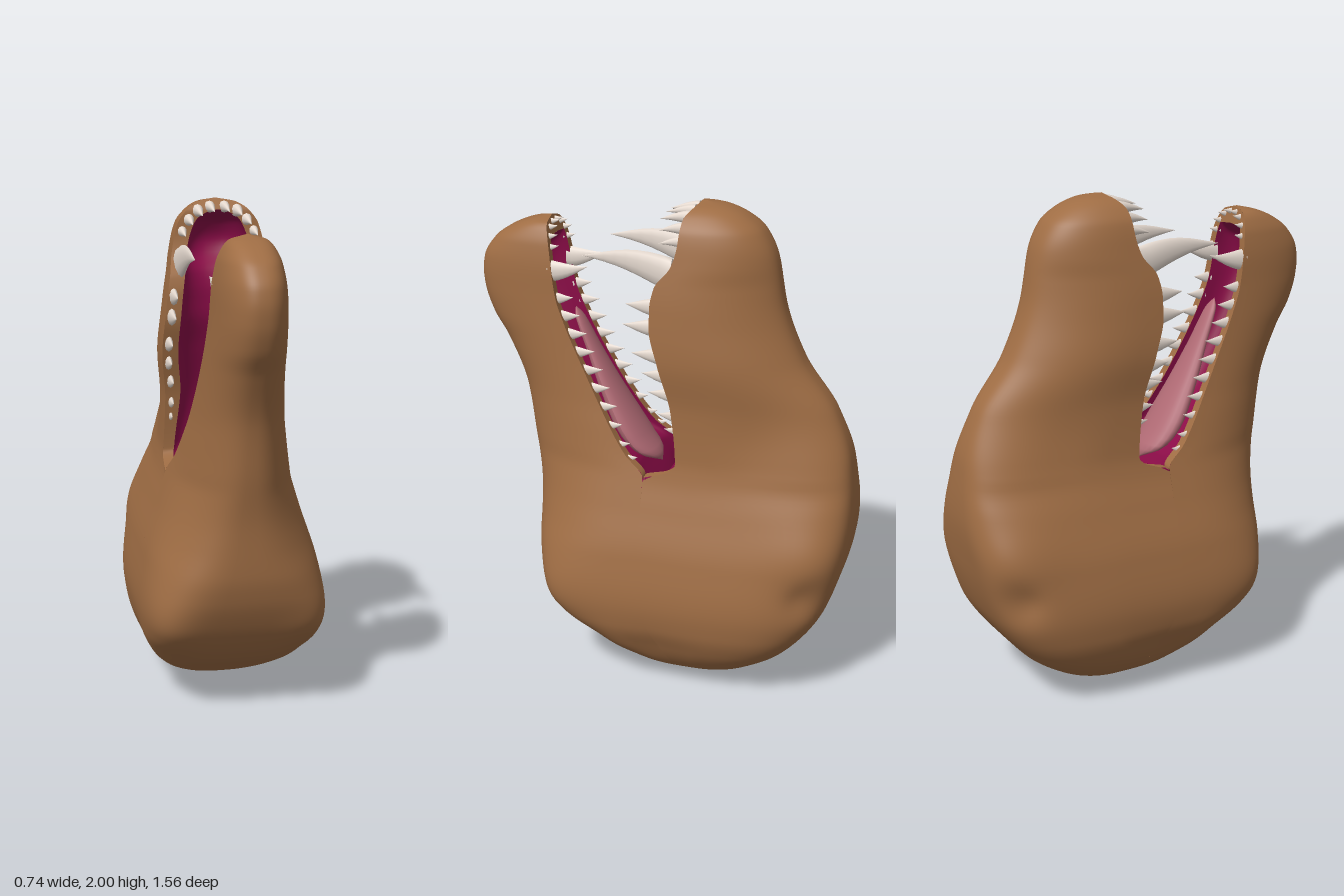
import * as THREE from 'three';

const mat = (color) => new THREE.MeshStandardMaterial({ color, side: THREE.DoubleSide });
const skinMat = mat(0x9f6d44), liningMat = mat(0x8c0c48), tongueMat = mat(0xb06a74), toothMat = mat(0xe6dad0);

// Smooth monotone curve through [y, value] pairs
function curve(p) {
  const n = p.length, s = [], m = [];
  for (let i = 0; i < n - 1; i++) s.push((p[i + 1][1] - p[i][1]) / (p[i + 1][0] - p[i][0]));
  for (let i = 0; i < n; i++) {
    const a = s[Math.max(i - 1, 0)], b = s[Math.min(i, n - 2)];
    m.push(a * b <= 0 ? 0 : (2 * a * b) / (a + b));
  }
  return (y) => {
    if (y <= p[0][0]) return p[0][1];
    if (y >= p[n - 1][0]) return p[n - 1][1];
    let i = 0;
    while (y > p[i + 1][0]) i++;
    const h = p[i + 1][0] - p[i][0], t = (y - p[i][0]) / h, t2 = t * t, t3 = t2 * t;
    return (2 * t3 - 3 * t2 + 1) * p[i][1] + (t3 - 2 * t2 + t) * h * m[i]
      + (3 * t2 - 2 * t3) * p[i + 1][1] + (t3 - t2) * h * m[i + 1];
  };
}

// Surface through open cross-sections stacked along y
function loft(name, material, y0, y1, rows, section, flip) {
  const pos = [], idx = [];
  let cols = 0;
  for (let i = 0; i <= rows; i++) {
    const y = y0 + (y1 - y0) * (1 - Math.cos(Math.PI * i / rows)) / 2;
    const pts = section(y);
    cols = pts.length;
    pts.forEach((q) => pos.push(...q));
  }
  for (let i = 0; i < rows; i++) for (let j = 0; j < cols - 1; j++) {
    const a = i * cols + j, b = a + 1, c = a + cols, d = c + 1;
    if (flip) idx.push(a, c, b, b, c, d); else idx.push(a, b, c, b, d, c);
  }
  const g = new THREE.BufferGeometry();
  g.setAttribute('position', new THREE.Float32BufferAttribute(pos, 3));
  g.setIndex(idx);
  g.computeVertexNormals();
  const mesh = new THREE.Mesh(g, material);
  mesh.name = name;
  return mesh;
}

// Half of a superellipse from +w round to -w
function arc(y, w, edge, outer, power, taper, n = 48) {
  const pts = [];
  for (let j = 0; j <= n; j++) {
    const a = Math.PI * j / n, c = Math.cos(a), s = Math.max(Math.sin(a), 0);
    const x = w * Math.sign(c) * Math.abs(c) ** (2 / power) * (1 - taper * s * s);
    pts.push([x, y, edge + (outer - edge) * s ** (2 / power)]);
  }
  return pts;
}

// Mirrored muscle bulges and hollows: x, y, z, radius, amount
const bulges = [
  [0.28, 0.36, 0.42, 0.11, 0.02], [0.26, 0.2, 0.25, 0.09, -0.015],
  [0.26, 0.68, -0.62, 0.14, 0.032], [0.3, 0.5, -0.64, 0.08, -0.03],
  [0.2, 1.1, -0.45, 0.16, -0.025], [0.32, 0.2, 0, 0.09, -0.015],
];
function sculpt([x, y, z]) {
  let k = 0;
  for (const [bx, by, bz, r, amount] of bulges) {
    k += amount * Math.exp(-((Math.abs(x) - bx) ** 2 + (y - by) ** 2 + (z - bz) ** 2) / (r * r));
  }
  const len = Math.hypot(x, z + 0.1) || 1;
  return [x + k * x / len, y, z + k * (z + 0.1) / len];
}

// Shared lower head, then the two jaws
const baseW = [[0, 0], [0.01, 0.09], [0.05, 0.185], [0.1, 0.255], [0.2, 0.325], [0.3, 0.36], [0.4, 0.37], [0.6, 0.342], [0.8, 0.28], [0.92, 0.242]];
const baseEdge = [[0, -0.15], [0.05, -0.13], [0.1, -0.1], [0.2, -0.05], [0.4, 0.02], [0.6, 0.04], [0.92, 0.04]];

const upper = {
  name: 'upperJaw', top: 2, dir: 1, liningTop: 1.955, liningPower: 2.4,
  w: curve([...baseW, [1, 0.228], [1.2, 0.222], [1.4, 0.24], [1.6, 0.225], [1.8, 0.19], [1.9, 0.165], [1.95, 0.13], [1.985, 0.08], [2, 0]]),
  edge: curve([...baseEdge, [0.945, -0.05], [0.98, -0.09], [1.2, -0.07], [1.4, -0.02], [1.55, 0.015], [1.62, 0.015], [1.7, 0], [1.78, -0.06], [1.85, -0.08], [1.95, -0.09], [2, -0.13]]),
  outer: curve([[0, -0.15], [0.01, -0.22], [0.05, -0.33], [0.1, -0.43], [0.2, -0.56], [0.4, -0.7], [0.6, -0.755], [0.8, -0.778], [1, -0.76], [1.2, -0.69], [1.4, -0.55], [1.6, -0.47], [1.8, -0.43], [1.9, -0.38], [1.95, -0.32], [1.985, -0.24], [2, -0.15]]),
  power: curve([[0, 2.8], [0.1, 3.3], [0.25, 4.2], [0.45, 4.4], [0.9, 3.8], [1.2, 3], [1.8, 2.7], [2, 2.3]]),
  taper: curve([[0.85, 0], [1.25, 0.35], [1.7, 0.3], [1.95, 0]]),
  inset: curve([[0.8, 0.04], [1, 0.045], [1.3, 0.065], [1.8, 0.06], [1.92, 0.07], [1.955, 0.1]]),
  depth: curve([[0.8, 0], [0.95, 0.11], [1.2, 0.15], [1.8, 0.15], [1.9, 0.11], [1.955, 0]]),
};
const lower = {
  name: 'lowerJaw', top: 1.9, dir: -1, liningTop: 1.83, liningPower: 3,
  w: curve([...baseW, [1, 0.218], [1.1, 0.195], [1.2, 0.175], [1.4, 0.15], [1.6, 0.135], [1.7, 0.13], [1.8, 0.115], [1.85, 0.095], [1.88, 0.07], [1.9, 0]]),
  edge: curve([...baseEdge, [1, 0.12], [1.1, 0.19], [1.3, 0.3], [1.5, 0.395], [1.6, 0.43], [1.8, 0.46], [1.9, 0.485]]),
  outer: curve([[0, -0.15], [0.01, -0.08], [0.05, 0.03], [0.1, 0.13], [0.2, 0.31], [0.3, 0.41], [0.4, 0.47], [0.5, 0.51], [0.6, 0.53], [0.8, 0.54], [1, 0.57], [1.2, 0.6], [1.4, 0.68], [1.5, 0.74], [1.6, 0.772], [1.66, 0.778], [1.72, 0.77], [1.8, 0.72], [1.85, 0.65], [1.88, 0.58], [1.9, 0.495]]),
  power: curve([[0, 2.8], [0.1, 3.4], [0.25, 4], [0.42, 4.2], [0.7, 3], [1.1, 2.5], [1.9, 2.5]]),
  taper: curve([[0.35, 0], [0.8, 0.18], [1.2, 0.12], [1.6, 0]]),
  inset: curve([[0.8, 0.04], [1.2, 0.04], [1.83, 0.035]]),
  depth: curve([[0.8, 0], [1, 0.1], [1.2, 0.15], [1.6, 0.14], [1.76, 0.09], [1.83, 0]]),
};

function makeJaw(j) {
  const group = new THREE.Group();
  group.name = j.name;
  const innerW = (y) => (y > j.liningTop ? 0 : j.w(y) - j.inset(y));
  // Outer skin
  group.add(loft(j.name + 'Skin', skinMat, 0, j.top, 140,
    (y) => arc(y, j.w(y), j.edge(y), j.outer(y), j.power(y), j.taper(y)).map(sculpt), j.dir < 0));
  // Gum rim on both sides
  for (const s of [1, -1]) {
    group.add(loft('gumRim', skinMat, 0.915, j.top, 100,
      (y) => [[s * innerW(y), y, j.edge(y)], [s * j.w(y), y, j.edge(y)]], s * j.dir < 0));
  }
  // Mouth lining
  group.add(loft('mouthLining', liningMat, 0.8, j.liningTop, 70,
    (y) => arc(y, innerW(y), j.edge(y), j.edge(y) - j.dir * j.depth(y), j.liningPower, 0, 24), j.dir > 0));
  return group;
}

// Flattened curved tooth along z; arch lifts its middle, lift raises its tip
function tooth(name, x, y, z, dir, length, radius, arch, lift, flat) {
  const g = new THREE.ConeGeometry(radius, length, 10, 8);
  g.translate(0, length / 2, 0);
  g.rotateX(dir * Math.PI / 2);
  const p = g.attributes.position;
  for (let i = 0; i < p.count; i++) {
    const t = Math.abs(p.getZ(i)) / length;
    p.setX(i, p.getX(i) * flat);
    p.setY(i, p.getY(i) * (1 + 0.6 * t * (1 - t)) + arch * Math.sin(Math.PI * t) + lift * t * t);
  }
  g.computeVertexNormals();
  const m = new THREE.Mesh(g, toothMat);
  m.name = name;
  m.position.set(x, y, z);
  return m;
}

function makeTeeth() {
  const group = new THREE.Group();
  group.name = 'teeth';
  for (const s of [1, -1]) {
    const row = (name, j, lift, flat, list) => list.forEach(([y, len, r, x = j.w(y) - 0.025]) =>
      group.add(tooth(name, s * x, y, j.edge(y) - j.dir * 0.015, j.dir, len, r, 0, lift, flat)));
    // Side rows: y, length, radius
    row('upperSideTooth', upper, 0.005, 0.55, [[1.62, 0.12, 0.036], [1.54, 0.13, 0.036], [1.43, 0.12, 0.034], [1.35, 0.1, 0.032], [1.27, 0.1, 0.03], [1.18, 0.08, 0.026], [1.12, 0.06, 0.02]]);
    row('lowerSideTooth', lower, 0.01, 0.55, [[1.59, 0.08, 0.026], [1.52, 0.085, 0.026], [1.45, 0.085, 0.026], [1.38, 0.085, 0.025], [1.31, 0.085, 0.025], [1.24, 0.08, 0.025], [1.17, 0.075, 0.023], [1.1, 0.06, 0.02], [1.03, 0.05, 0.017], [0.98, 0.04, 0.015]]);
    // Front rows round each tip, with explicit x
    row('upperFrontTooth', upper, -0.015, 0.95, [[1.965, 0.12, 0.024, 0.03], [1.95, 0.12, 0.026, 0.08], [1.915, 0.11, 0.026, 0.118], [1.87, 0.1, 0.023, 0.146]]);
    row('lowerFrontTooth', lower, 0.01, 0.75, [[1.875, 0.05, 0.015, 0.02], [1.86, 0.05, 0.016, 0.054], [1.83, 0.05, 0.016, 0.08], [1.79, 0.05, 0.016, 0.092]]);
    // Fangs
    group.add(tooth('upperFang', s * 0.163, 1.74, -0.06, 1, 0.365, 0.07, 0.035, 0.05, 0.38));
    group.add(tooth('lowerFang', s * 0.108, 1.7, 0.465, -1, 0.165, 0.045, 0, 0.03, 0.5));
  }
  return group;
}

// Tongue lying along the lower jaw, tapering to a narrow tip
function makeTongue() {
  const z = curve([[0.9, 0.03], [1, 0.13], [1.2, 0.245], [1.35, 0.315], [1.53, 0.395]]);
  const w = curve([[0.9, 0], [0.96, 0.1], [1.03, 0.112], [1.2, 0.085], [1.35, 0.055], [1.49, 0.032], [1.53, 0]]);
  return loft('tongue', tongueMat, 0.9, 1.53, 24, (y) => {
    const pts = [];
    for (let j = 0; j <= 20; j++) {
      const a = Math.PI * 2 * j / 20;
      pts.push([w(y) * Math.cos(a), y, z(y) - w(y) * 0.5 * Math.sin(a)]);
    }
    return pts;
  }, false);
}

export function createModel() {
  const head = new THREE.Group();
  head.name = 'reptileHead';
  head.add(makeJaw(upper), makeJaw(lower), makeTeeth(), makeTongue());
  return head;
}
